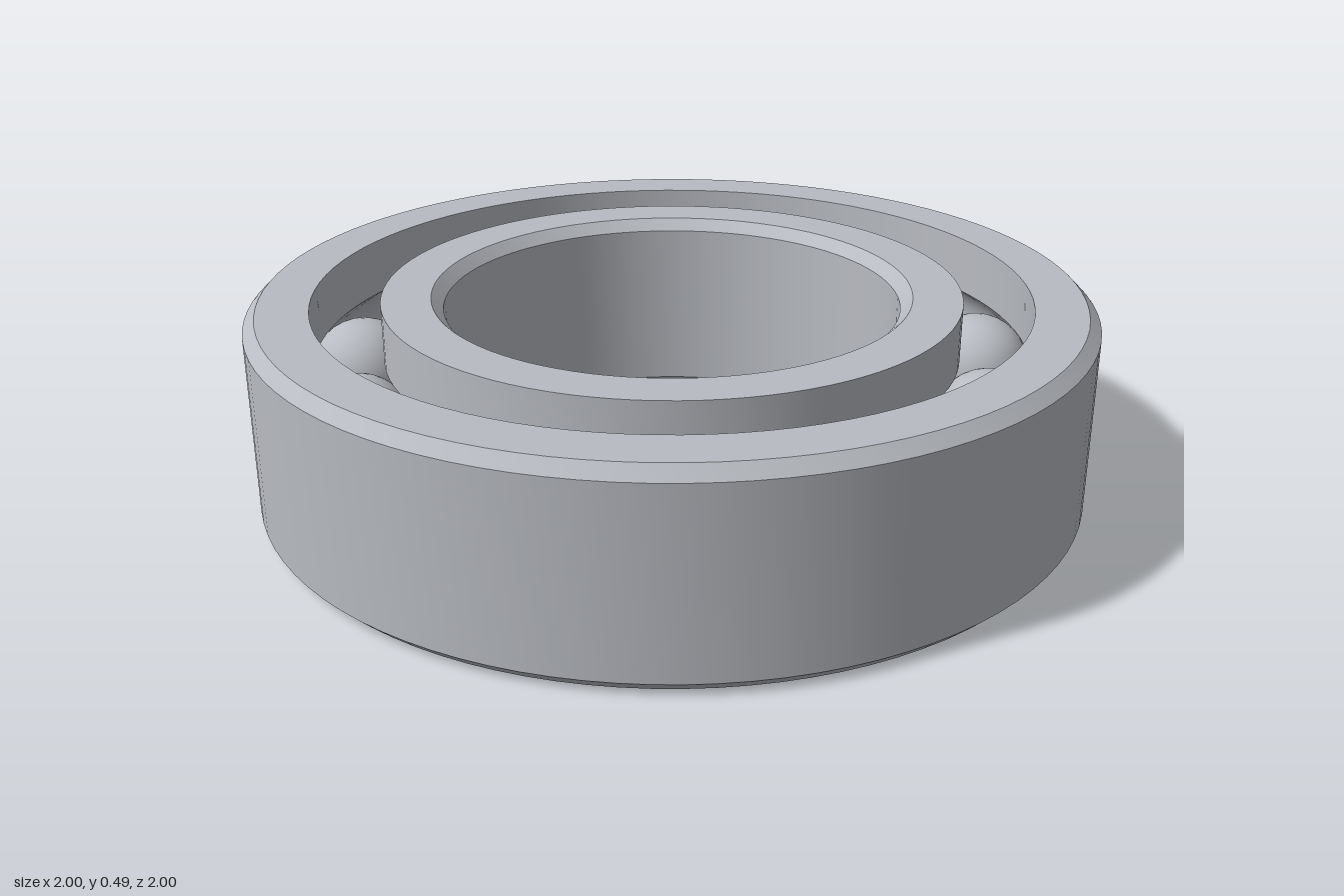
import * as THREE from 'three';
import { toCreasedNormals } from 'three/addons/utils/BufferGeometryUtils.js';

const HEIGHT = 0.485, MID = HEIGHT / 2;
const BALL_COUNT = 13, BALL_RADIUS = 0.128, PITCH_RADIUS = 0.77;
const GROOVE_RADIUS = 0.13;

// Groove cross-section, cut from a wall at radius `wall`, listed from bottom to top
function groove(wall, side) {
  const half = Math.acos(Math.abs(wall - PITCH_RADIUS) / GROOVE_RADIUS);
  const points = [];
  for (let i = 0; i <= 12; i++) {
    const a = -half + (2 * half * i) / 12;
    points.push([PITCH_RADIUS + side * GROOVE_RADIUS * Math.cos(a), MID + GROOVE_RADIUS * Math.sin(a)]);
  }
  return points;
}

// Closed ring from a counter-clockwise profile of [radius, height]
function ring(name, profile, material) {
  const points = [...profile, profile[0]].map(([r, y]) => new THREE.Vector2(r, y));
  const mesh = new THREE.Mesh(toCreasedNormals(new THREE.LatheGeometry(points, 96), 0.6), material);
  mesh.name = name;
  return mesh;
}

export function createModel() {
  const model = new THREE.Group();
  model.name = 'ballBearing';
  const steel = new THREE.MeshStandardMaterial({ color: 0xb8bbc1 });
  steel.name = 'steel';

  // Outer ring: chamfered outside, grooved inside
  const c = 0.028;
  model.add(ring('outerRing', [
    [0.85, 0], [1 - c, 0], [1, c], [1, HEIGHT - c], [1 - c, HEIGHT], [0.85, HEIGHT],
    ...groove(0.85, 1).reverse(),
  ], steel));

  // Inner ring: chamfered bore, grooved outside
  const bore = 0.543;
  model.add(ring('innerRing', [
    [bore + c, 0], [0.688, 0], ...groove(0.688, -1), [0.688, HEIGHT],
    [bore + c, HEIGHT], [bore, HEIGHT - c], [bore, c],
  ], steel));

  // Balls running between the grooves
  const balls = new THREE.Group();
  balls.name = 'balls';
  const ballGeometry = new THREE.SphereGeometry(BALL_RADIUS, 32, 20);
  for (let i = 0; i < BALL_COUNT; i++) {
    const a = (i / BALL_COUNT) * Math.PI * 2;
    const ball = new THREE.Mesh(ballGeometry, steel);
    ball.name = `ball${i + 1}`;
    ball.position.set(PITCH_RADIUS * Math.cos(a), MID, PITCH_RADIUS * Math.sin(a));
    balls.add(ball);
  }
  model.add(balls);
  return model;
}
